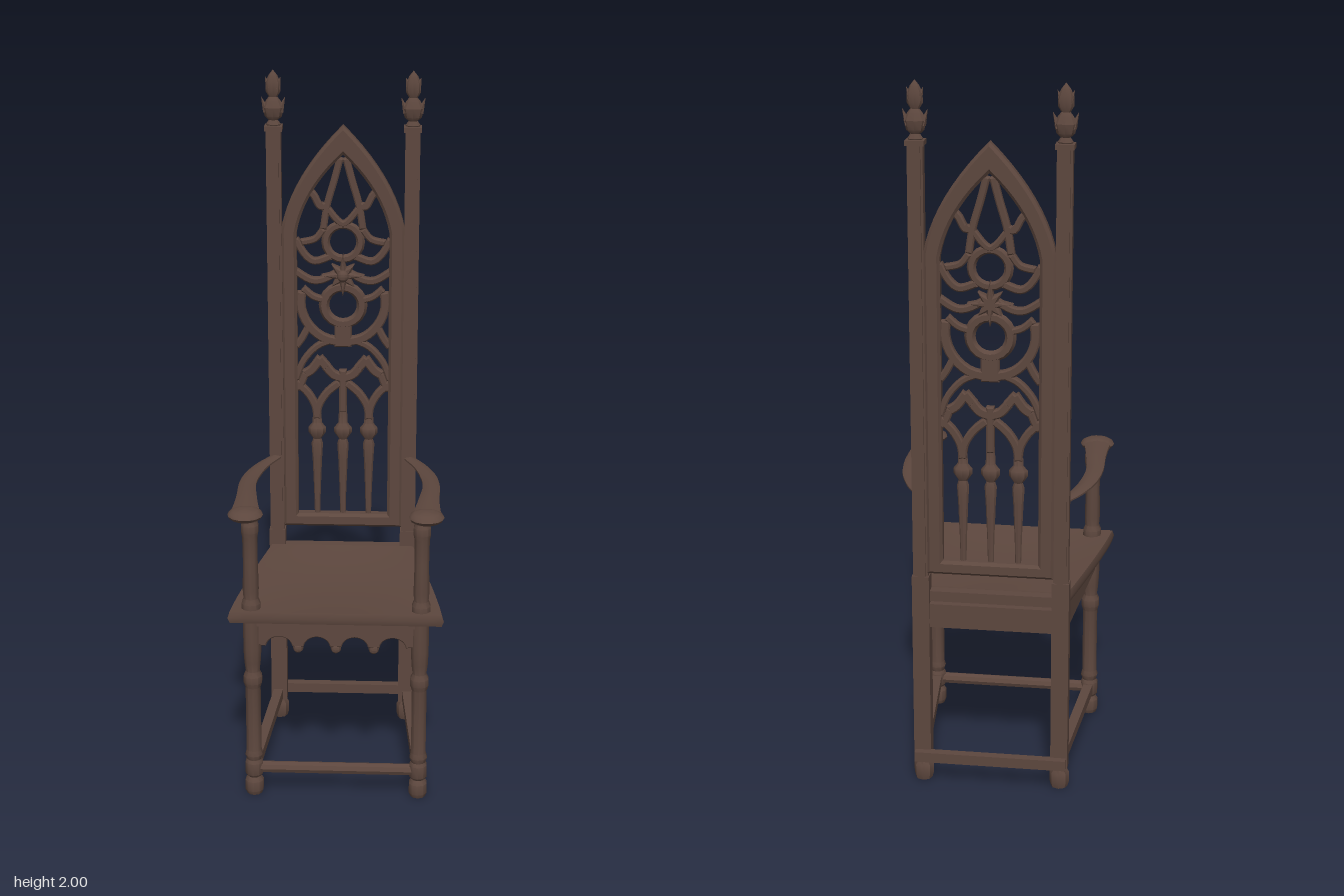
import * as THREE from 'three';
import { toCreasedNormals } from 'three/addons/utils/BufferGeometryUtils.js';

const V2 = (x, y) => new THREE.Vector2(x, y);
const V3 = (x, y, z) => new THREE.Vector3(x, y, z);
const BACK_Z = -0.247;

export function createModel() {
  const wood = new THREE.MeshStandardMaterial({ color: 0x5d473e });
  wood.name = 'darkWood';
  const chair = new THREE.Group();
  chair.name = 'gothicArmchair';

  function add(name, geo, x = 0, y = 0, z = 0, parent = chair) {
    const mesh = new THREE.Mesh(toCreasedNormals(geo, 0.65), wood);
    mesh.name = name;
    mesh.position.set(x, y, z);
    parent.add(mesh);
    return mesh;
  }
  const box = (name, w, h, d, x, y, z, parent) => add(name, new THREE.BoxGeometry(w, h, d), x, y, z, parent);
  const lathe = (profile, sides = 10) => new THREE.LatheGeometry(profile.map(([r, y]) => V2(r, y)), sides);

  // Shape extruded with a chamfer, centred on z = 0
  function plate(shape, depth, bevel) {
    const geo = new THREE.ExtrudeGeometry(shape, {
      depth: depth - 2 * bevel, bevelEnabled: bevel > 0, bevelThickness: bevel,
      bevelSize: bevel, bevelOffset: -bevel, bevelSegments: 1, curveSegments: 10,
    });
    return geo.translate(0, 0, -depth / 2 + bevel);
  }

  // Horizontal rail between two points in plan
  function rail(name, a, b, y, h, d) {
    const mesh = box(name, Math.hypot(b[0] - a[0], b[1] - a[1]), h, d, (a[0] + b[0]) / 2, y, (a[1] + b[1]) / 2);
    mesh.rotation.y = -Math.atan2(b[1] - a[1], b[0] - a[0]);
  }

  // Back posts: notched shaft, square lower block, foot, cap and leafy finial
  const t = 0.021, n = 0.006;
  const section = new THREE.Shape([
    V2(-t + n, -t), V2(t - n, -t), V2(t - n, -t + n), V2(t, -t + n), V2(t, t - n), V2(t - n, t - n),
    V2(t - n, t), V2(-t + n, t), V2(-t + n, t - n), V2(-t, t - n), V2(-t, -t + n), V2(-t + n, -t + n)]);
  const finial = [[0.015, 0], [0.021, 0.008], [0.013, 0.02], [0.024, 0.03], [0.03, 0.055], [0.02, 0.075],
    [0.012, 0.085], [0.021, 0.1], [0.021, 0.125], [0.012, 0.145], [0, 0.16]];
  for (const s of [1, -1]) {
    const post = new THREE.Group();
    post.name = s > 0 ? 'leftBackPost' : 'rightBackPost';
    post.position.set(s * 0.195, 0, BACK_Z);
    chair.add(post);
    const shaft = new THREE.ExtrudeGeometry(section, { depth: 1.24, bevelEnabled: false });
    add('postShaft', shaft.rotateX(-Math.PI / 2), 0, 0.6, 0, post);
    box('postBlock', 0.048, 0.57, 0.044, 0, 0.345, 0, post);
    add('postFoot', lathe([[0, 0], [0.024, 0], [0.028, 0.015], [0.028, 0.045], [0.02, 0.058], [0.02, 0.065]], 8), 0, 0, 0, post);
    box('postCap', 0.05, 0.014, 0.045, 0, 1.838, 0, post);
    const tip = add('finial', lathe(finial, 8), 0, 1.84, 0, post);
    tip.scale.z = 0.6;
    for (const [dx, y, h] of [[0.026, 1.905, 0.045], [0.016, 1.965, 0.035]]) {
      for (const side of [1, -1]) {
        const leaf = add('finialLeaf', new THREE.ConeGeometry(0.011, h, 5), side * dx, y, 0, post);
        leaf.rotation.z = -side * 0.35;
      }
    }
  }

  // Pointed arch frame of the back
  function arch(Path, w, bottom, spring, cx, cy, apex) {
    const p = new Path();
    p.moveTo(-w, bottom);
    p.lineTo(w, bottom);
    p.lineTo(w, spring);
    p.quadraticCurveTo(cx, cy, 0, apex);
    p.quadraticCurveTo(-cx, cy, -w, spring);
    p.lineTo(-w, bottom);
    return p;
  }
  const frame = arch(THREE.Shape, 0.176, 0.64, 1.55, 0.147, 1.7, 1.847);
  frame.holes.push(arch(THREE.Path, 0.132, 0.68, 1.54, 0.11, 1.66, 1.765));
  add('backFrame', plate(frame, 0.038, 0.008), 0, 0, -0.25);

  // Tracery bars: flat ribbons that follow a curve, mirrored when asked
  const tracery = new THREE.Group();
  tracery.name = 'tracery';
  tracery.position.z = -0.25;
  chair.add(tracery);
  function ribbon(name, pts, width = 0.022, mirror = true) {
    for (const s of mirror ? [1, -1] : [1]) {
      const curve = new THREE.SplineCurve(pts.map(([x, y]) => V2(s * x, y)));
      const left = [], right = [];
      for (let i = 0; i <= 12; i++) {
        const p = curve.getPoint(i / 12), d = curve.getTangent(i / 12);
        left.push(V2(p.x - d.y * width / 2, p.y + d.x * width / 2));
        right.unshift(V2(p.x + d.y * width / 2, p.y - d.x * width / 2));
      }
      add(name, plate(new THREE.Shape([...left, ...right]), 0.024, 0.004), 0, 0, 0, tracery);
    }
  }

  // Three slender columns with capitals
  const column = [[0.008, 0.67], [0.01, 0.75], [0.014, 0.85], [0.017, 0.9], [0.012, 0.915], [0.026, 0.935],
    [0.026, 0.95], [0.014, 0.965], [0.011, 1.02]];
  for (const x of [-0.076, 0, 0.076]) add('traceryColumn', lathe(column, 8), x, 0, 0, tracery).scale.z = 0.75;

  // Lancet arches above the columns
  ribbon('lancetArch', [[0.076, 0.98], [0.082, 1.02], [0.105, 1.06], [0.138, 1.09]], 0.022);
  ribbon('lancetArch', [[0.076, 0.98], [0.07, 1.02], [0.045, 1.06], [0.01, 1.09]], 0.022);
  ribbon('centreStem', [[0, 1.0], [0, 1.13]], 0.022, false);
  ribbon('cuspedArch', [[0, 1.105], [0.028, 1.115], [0.05, 1.14]], 0.026);
  ribbon('cuspedArch', [[0.045, 1.135], [0.07, 1.165]], 0.026);
  ribbon('cuspedArch', [[0.065, 1.165], [0.09, 1.13], [0.112, 1.115]], 0.026);
  ribbon('cuspedArch', [[0.108, 1.12], [0.122, 1.085], [0.136, 1.07]], 0.02);
  ribbon('sweepingArc', [[0.136, 1.1], [0.115, 1.155], [0.075, 1.2], [0.03, 1.22]], 0.018);
  ribbon('sweepingArc', [[0.136, 1.2], [0.118, 1.225], [0.1, 1.26]], 0.02);

  // Rose: large lower arc, two rings, curved spokes and a star boss
  const R = 0.122;
  ribbon('roseArc', [0.25, -0.1, -0.45, -0.8, -1.15, -1.6].map(a => [R * Math.cos(a), 1.335 + R * Math.sin(a)]), 0.026);
  for (const [y, r, k] of [[1.512, 0.05, 0.0125], [1.325, 0.055, 0.0155]]) {
    add('roseRing', new THREE.TorusGeometry(r, k, 6, 20), 0, y, 0, tracery);
  }
  ribbon('roseSpoke', [[0.02, 1.42], [0.06, 1.4], [0.095, 1.4], [0.136, 1.425]], 0.02);
  ribbon('roseSpoke', [[0.035, 1.47], [0.08, 1.455], [0.11, 1.475], [0.136, 1.52]], 0.02);
  ribbon('roseSpoke', [[0.05, 1.34], [0.085, 1.35], [0.115, 1.375]], 0.018);
  ribbon('lowerLink', [[0, 1.275], [0, 1.2]], 0.05, false);
  const star = new THREE.Shape(Array.from({ length: 16 }, (_, i) => {
    const r = i % 2 ? 0.024 : i % 4 ? 0.046 : 0.062;
    return V2(r * Math.cos(i * Math.PI / 8), r * Math.sin(i * Math.PI / 8));
  }));
  add('starBoss', plate(star, 0.036, 0.007), 0, 1.415, 0.002, tracery);
  add('bossBead', new THREE.SphereGeometry(0.018, 10, 8), 0, 1.415, 0.016, tracery);

  // Steep gable in the arch head
  ribbon('gableBar', [[0.008, 1.755], [0.025, 1.69], [0.045, 1.62], [0.056, 1.55]], 0.02);
  ribbon('gableBar', [[0.056, 1.55], [0.08, 1.52], [0.12, 1.51]], 0.018);
  ribbon('gableCusp', [[0.045, 1.62], [0.065, 1.615], [0.082, 1.645], [0.096, 1.66]], 0.02);
  ribbon('gableCollar', [[-0.045, 1.61], [0, 1.565], [0.045, 1.61]], 0.018, false);

  // Seat: tapered board with a shallow dish and a moulded edge
  const seatW = z => 0.3 - 0.085 * Math.pow((0.265 - z) / 0.49, 1.2);
  const seat = new THREE.BoxGeometry(2, 0.034, 0.49, 12, 2, 10);
  const sp = seat.attributes.position;
  for (let i = 0; i < sp.count; i++) {
    const u = sp.getX(i), z = Math.min(0.265, sp.getZ(i) + 0.02), y = sp.getY(i);
    const v = sp.getZ(i) / 0.245;
    const edge = Math.abs(y) > 0.01 ? 0.982 : 1;
    sp.setXYZ(i, u * seatW(z) * edge, y + 0.568 - 0.014 * (1 - u * u) * (1 - v * v), z * edge);
  }
  add('seat', seat);

  // Rails under the seat and stretchers near the floor
  for (const s of [1, -1]) {
    rail('sideApron', [s * 0.195, -0.24], [s * 0.235, 0.22], 0.512, 0.068, 0.03);
    rail('sideStretcher', [s * 0.195, -0.26], [s * 0.235, 0.227], 0.082, 0.03, 0.028);
  }
  box('backApron', 0.36, 0.07, 0.03, 0, 0.512, -0.247);
  box('backSeatRail', 0.36, 0.03, 0.03, 0, 0.568, -0.24);
  box('backStretcher', 0.43, 0.03, 0.025, 0, 0.082, -0.277);
  add('frontStretcher', new THREE.CylinderGeometry(0.017, 0.017, 0.46, 8).rotateZ(Math.PI / 2), 0, 0.082, 0.227);

  // Front apron: four scalloped bays with pendants between them
  const apron = new THREE.Shape();
  apron.moveTo(-0.22, 0.553);
  apron.lineTo(-0.22, 0.475);
  for (let i = 0; i < 4; i++) {
    const x = -0.212 + i * 0.106;
    apron.lineTo(x + 0.016, 0.473);
    apron.quadraticCurveTo(x + 0.022, 0.5, x + 0.053, 0.503);
    apron.quadraticCurveTo(x + 0.084, 0.5, x + 0.09, 0.473);
  }
  apron.lineTo(0.22, 0.475);
  apron.lineTo(0.22, 0.553);
  add('frontApron', plate(apron, 0.022, 0.003), 0, 0, 0.232);
  for (const x of [-0.106, 0, 0.106]) add('apronPendant', new THREE.SphereGeometry(0.015, 8, 6), x, 0.466, 0.232);
  box('apronMoulding', 0.44, 0.014, 0.034, 0, 0.543, 0.232);

  // Front legs, arm posts and arms
  const leg = [[0, 0], [0.022, 0], [0.027, 0.012], [0.027, 0.042], [0.019, 0.055], [0.026, 0.064], [0.026, 0.1],
    [0.021, 0.11], [0.026, 0.125], [0.022, 0.14], [0.022, 0.34], [0.027, 0.355], [0.027, 0.375], [0.02, 0.39],
    [0.024, 0.42], [0.026, 0.46], [0.026, 0.555]];
  const armPost = [[0.027, 0.58], [0.027, 0.6], [0.021, 0.615], [0.023, 0.64], [0.021, 0.73], [0.022, 0.8],
    [0.025, 0.815], [0.025, 0.835], [0.021, 0.845], [0.021, 0.868]];
  for (const s of [1, -1]) {
    const side = s > 0 ? 'left' : 'right';
    add(side + 'FrontLeg', lathe(leg), s * 0.235, 0, 0.227);
    add(side + 'ArmPost', lathe(armPost), s * 0.237, 0, 0.227);

    // Bowed arm, swelling towards the hand rest
    const path = new THREE.CatmullRomCurve3([
      V3(s * 0.195, 0.861, -0.235), V3(s * 0.228, 0.862, -0.165), V3(s * 0.252, 0.864, -0.08),
      V3(s * 0.261, 0.867, 0.01), V3(s * 0.255, 0.87, 0.11), V3(s * 0.248, 0.87, 0.24)]);
    const arm = new THREE.TubeGeometry(path, 24, 1, 10);
    const p = arm.attributes.position;
    for (let i = 0; i < p.count; i++) {
      const k = Math.floor(i / 11) / 24, c = path.getPointAt(k);
      const w = 0.016 + 0.008 * Math.min(1, k * 3) + 0.02 * k ** 4, h = 0.007 + 0.007 * k;
      p.setXYZ(i, c.x + (p.getX(i) - c.x) * w, c.y + (p.getY(i) - c.y) * h, c.z + (p.getZ(i) - c.z) * w);
    }
    arm.computeVertexNormals();
    add(side + 'Arm', arm);
    add(side + 'HandRest', new THREE.SphereGeometry(1, 14, 8).scale(0.049, 0.018, 0.049), s * 0.248, 0.868, 0.236);
  }
  return chair;
}
